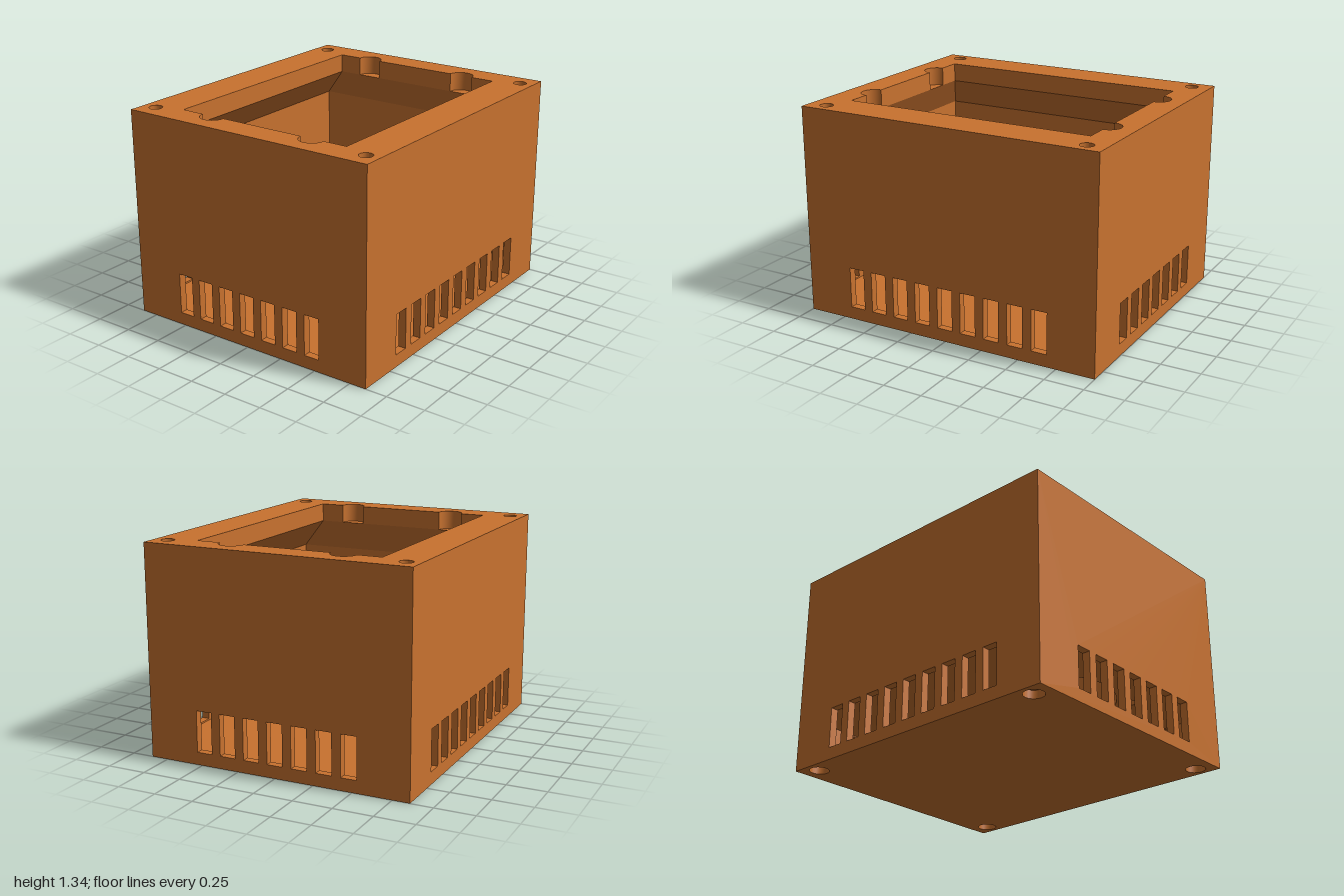
import * as THREE from 'three';
import { mergeGeometries, toCreasedNormals } from 'three/addons/utils/BufferGeometryUtils.js';

// Overall sizes: half width, half depth, height, wall thickness, floor level
const W = 1, D = 0.86, H = 1.34, T = 0.05, FLOOR = 0.07;
const RIM = 1.22, FLARE = 1.01;         // underside of the rim, foot of its flare
const UP = new THREE.Vector3(0, 1, 0);

// 2D loops, counter-clockwise
const rect = (x0, y0, x1, y1) => [[x0, y0], [x1, y0], [x1, y1], [x0, y1]];
const arc = (cx, cy, r, n = 40, from = 0, sweep = Math.PI * 2, closed = true) =>
  Array.from({ length: closed ? n : n + 1 }, (_, i) => {
    const a = from + sweep * i / n;
    return [cx + r * Math.cos(a), cy + r * Math.sin(a)];
  });

// Placements of a 2D loop in space
const level = y => ([u, v]) => new THREE.Vector3(u, y, -v);
const upright = (angle, d) => ([u, v]) => new THREE.Vector3(u, v, d).applyAxisAngle(UP, angle);

function surface(points) {
  const g = new THREE.BufferGeometry().setFromPoints(points);
  g.computeVertexNormals();
  return toCreasedNormals(g, 0.5);
}

// Flat face with holes
function sheet(outline, holes, place, flip = false) {
  const to2 = loop => loop.map(p => new THREE.Vector2(...p));
  const all = [outline, ...holes].flat().map(place);
  const tris = THREE.ShapeUtils.triangulateShape(to2(outline), holes.map(h => to2(h).reverse()));
  // hole loops were reversed for the triangulation, so reverse their points too
  const pts = [outline, ...holes.map(h => [...h].reverse())].flat().map(place);
  return surface(tris.flatMap(t => (flip ? [t[0], t[2], t[1]] : t).map(i => pts[i].clone())));
}

// Band of quads between two loops
function band(loopA, placeA, placeB, loopB = loopA) {
  const a = loopA.map(placeA), b = loopB.map(placeB), pts = [];
  a.forEach((p, i) => {
    const j = (i + 1) % a.length;
    pts.push(p, a[j], b[j], p, b[j], b[i]);
  });
  return surface(pts);
}

export function createModel() {
  const model = new THREE.Group();
  model.name = 'ventedFanBox';
  const copper = new THREE.MeshStandardMaterial({ color: 0xc8722f, side: THREE.DoubleSide });
  copper.name = 'copperOrange';
  const add = (name, parts) => {
    const mesh = new THREE.Mesh(mergeGeometries(parts), copper);
    mesh.name = name;
    model.add(mesh);
  };

  const corners = [[1, 1], [-1, 1], [-1, -1], [1, -1]];
  const outer = rect(-W, -D, W, D);
  const inner = rect(-W + T, -D + T, W - T, D - T);

  // Four walls, each with a row of vent slots
  [['front', 0, W, D, 9], ['left', 1, D, W, 7], ['back', 2, W, D, 9], ['right', 3, D, W, 7]]
    .forEach(([side, turn, half, dist, count]) => {
      const out = upright(turn * Math.PI / 2, dist);
      const inn = upright(turn * Math.PI / 2, dist - T);
      const slots = Array.from({ length: count }, (_, i) => {
        const u = (i - (count - 1) / 2) * 0.16;
        return rect(u - 0.051, 0.08, u + 0.051, 0.342);
      });
      add(side + 'Wall', [
        sheet(rect(-half, 0, half, H), slots, out),
        sheet(rect(-half + T, FLOOR, half - T, FLARE), slots, inn, true),
        ...slots.map(s => band(s, out, inn)),
      ]);
    });

  // Base with a shallow round recess under each corner
  const recesses = corners.map(([x, z]) => arc(x * 0.88, z * 0.77, 0.062));
  add('base', [
    sheet(outer, recesses, level(0), true),
    sheet(inner, [], level(FLOOR)),
    ...recesses.map(r => band(r, level(0.05), level(0))),
    ...recesses.map(r => sheet(r, [], level(0.05), true)),
  ]);

  // Rim opening with two finger notches on each short side
  const notch = c => arc(0.82, c, 0.08, 20, -Math.PI / 2, Math.PI, false);
  const rightEdge = [[0.82, -0.6], ...notch(-0.365), ...notch(0.365), [0.82, 0.6]];
  const opening = [...rightEdge, ...rightEdge.map(([x, y]) => [-x, -y])];
  const screwHoles = corners.map(([x, z]) => arc(x * 0.88, z * 0.77, 0.042));
  const notches = [-0.365, 0.365].flatMap(c => [notch(c), notch(c).map(([x, y]) => [-x, -y])]);
  add('rim', [
    sheet(outer, [opening, ...screwHoles], level(H)),
    band(opening, level(H), level(RIM)),
    ...notches.map(n => sheet(n, [], level(RIM))),
    ...screwHoles.map(h => band(h, level(H), level(RIM))),
    ...screwHoles.map(h => sheet(h, [], level(RIM))),
  ]);

  // Flared underside joining the rim to the walls
  add('rimFlare', [band(rect(-0.82, -0.6, 0.82, 0.6), level(RIM), level(FLARE), inner)]);

  // Inner plate with two fan openings and their screw holes
  const fanHoles = [-0.4, 0.4].flatMap(x => [
    arc(x, 0, 0.372, 64),
    ...corners.map(([i, j]) => arc(x + i * 0.32, j * 0.32, 0.042, 24)),
  ]);
  add('fanPlate', [
    sheet(inner, fanHoles, level(0.43)),
    sheet(inner, fanHoles, level(0.35), true),
    ...fanHoles.map(h => band(h, level(0.43), level(0.35))),
  ]);

  return model;
}
